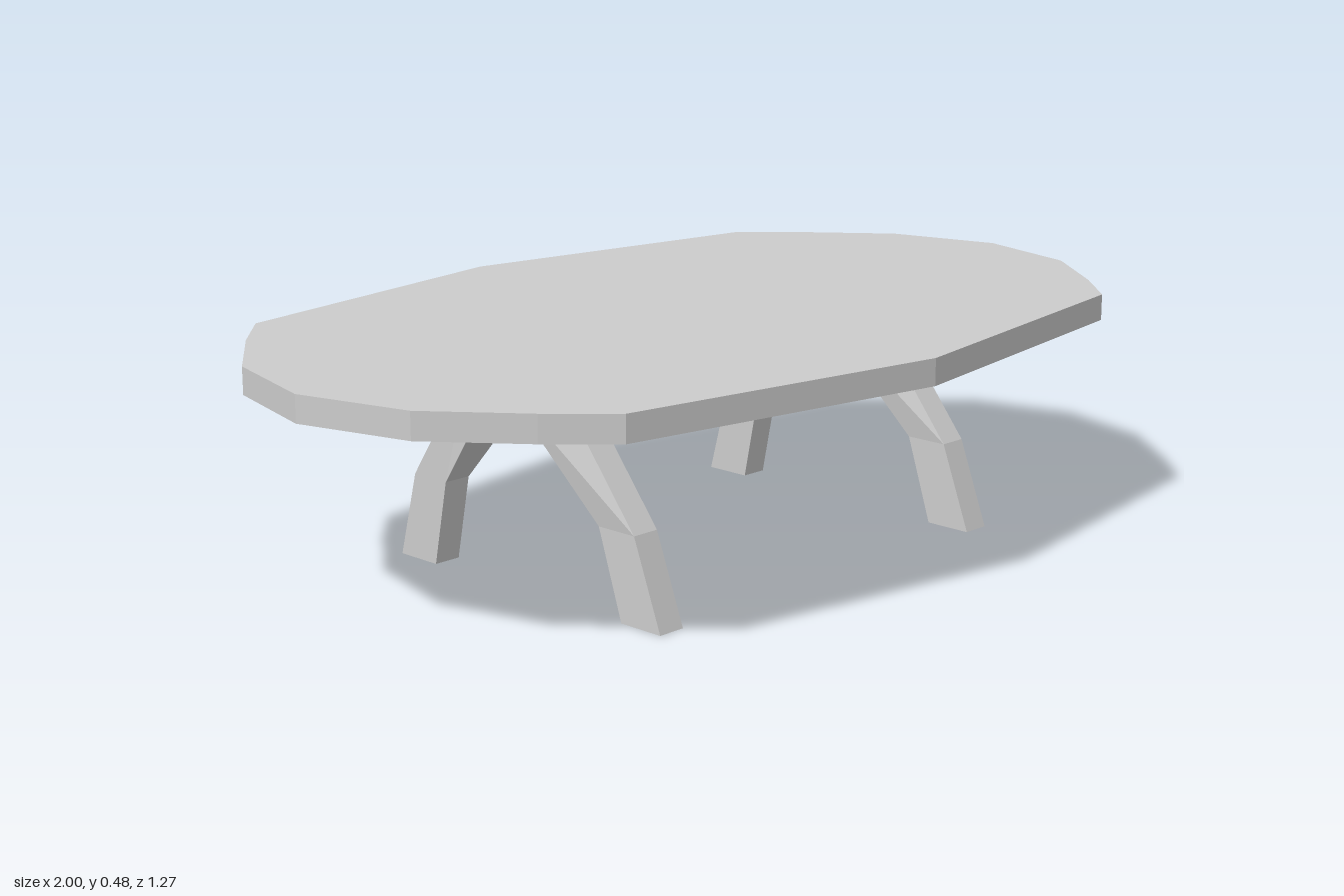
import * as THREE from 'three';

const material = new THREE.MeshStandardMaterial({ color: 0xcccccc, flatShading: true });
const TOP = 0.483, UNDER = 0.429, KNEE = 0.177;

// Faceted oval slab, mirrored from one quarter outline
function makeTabletop() {
  const quarter = [[1, 0], [0.937, 0.238], [0.8, 0.41], [0.695, 0.519], [0, 0.636]];
  const half = [...quarter, ...quarter.slice(0, -1).reverse().map(([x, z]) => [-x, z])];
  const outline = [...half, ...half.slice(1, -1).reverse().map(([x, z]) => [x, -z])];
  const shape = new THREE.Shape(outline.map(([x, z]) => new THREE.Vector2(x, z)));
  const geometry = new THREE.ExtrudeGeometry(shape, { depth: TOP - UNDER, bevelEnabled: false });
  geometry.rotateX(Math.PI / 2).translate(0, TOP, 0);
  const mesh = new THREE.Mesh(geometry, material);
  mesh.name = 'tabletop';
  return mesh;
}

// Bent leg lofted through sections [y, outerZ, innerZ, outerHalfWidth, innerHalfWidth]
function makeLeg(name, sections, outerDiagonal) {
  const rings = sections.map(([y, zo, zi, wo, wi]) => [
    [-wo, y, zo], [wo, y, zo], [wi, y, zi], [-wi, y, zi],
  ]);
  const positions = [];
  const tri = (...points) => points.forEach((p) => positions.push(...p));
  for (let s = 0; s < rings.length - 1; s++) {
    const a = rings[s], b = rings[s + 1];
    for (let i = 0; i < 4; i++) {
      const j = (i + 1) % 4;
      // Both flanks are creased along mirrored diagonals
      if ((i === 3) === outerDiagonal) {
        tri(a[i], a[j], b[i]);
        tri(a[j], b[j], b[i]);
      } else {
        tri(a[i], a[j], b[j]);
        tri(a[i], b[j], b[i]);
      }
    }
  }
  // Foot and top caps
  const f = rings[0], t = rings[rings.length - 1];
  tri(f[0], f[2], f[1]);
  tri(f[0], f[3], f[2]);
  tri(t[0], t[1], t[2]);
  tri(t[0], t[2], t[3]);
  const geometry = new THREE.BufferGeometry();
  geometry.setAttribute('position', new THREE.Float32BufferAttribute(positions, 3));
  geometry.computeVertexNormals();
  const mesh = new THREE.Mesh(geometry, material);
  mesh.name = name;
  return mesh;
}

// Front and back legs meeting under the slab
function makeLegPair(name, x) {
  const pair = new THREE.Group();
  pair.name = name;
  const top = [UNDER, 0.125, 0, 0.03, 0.067];
  const front = makeLeg('frontLeg', [
    [0, 0.392, 0.29, 0.03, 0.03], [KNEE, 0.325, 0.232, 0.03, 0.03], top,
  ], true);
  const back = makeLeg('backLeg', [
    [0, 0.342, 0.238, 0.03, 0.03], [KNEE, 0.295, 0.202, 0.03, 0.03], top,
  ], false);
  back.rotation.y = Math.PI;
  pair.add(front, back);
  pair.position.x = x;
  return pair;
}

export function createModel() {
  const table = new THREE.Group();
  table.name = 'table';
  table.add(makeTabletop(), makeLegPair('leftLegs', 0.455), makeLegPair('rightLegs', -0.455));
  return table;
}
